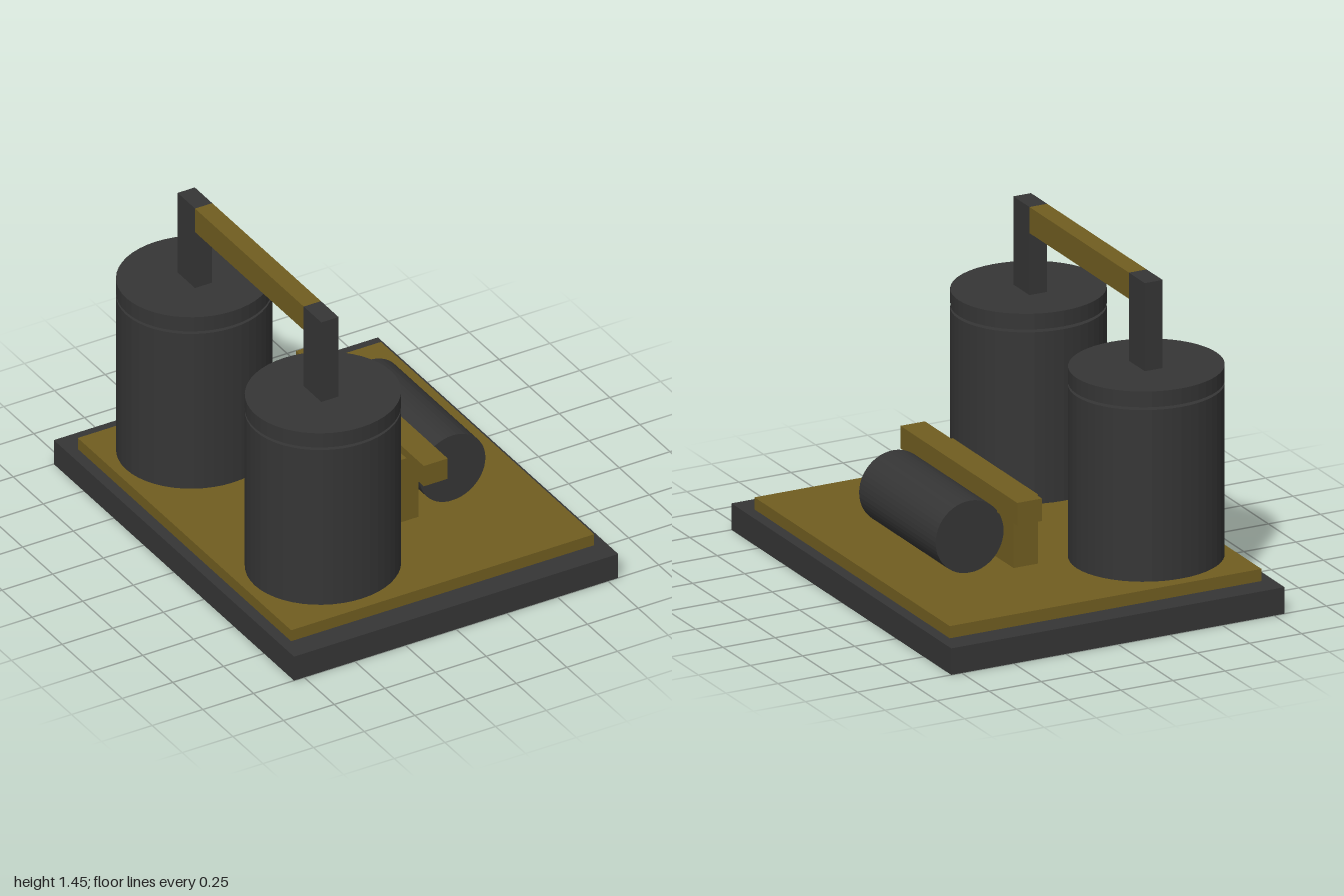
import * as THREE from 'three';

export function createModel() {
  const model = new THREE.Group();
  const charcoal = new THREE.MeshStandardMaterial({ color: 0x353535, flatShading: true });
  charcoal.name = 'charcoal';
  const brass = new THREE.MeshStandardMaterial({ color: 0x705d20 });
  brass.name = 'brass';

  const add = (name, geometry, material, parent = model) => {
    const mesh = new THREE.Mesh(geometry, material);
    mesh.name = name;
    parent.add(mesh);
    return mesh;
  };

  // Box given by its extents on each axis
  const box = (name, material, [x0, x1], [y0, y1], [z0, z1], parent) =>
    add(name, new THREE.BoxGeometry(x1 - x0, y1 - y0, z1 - z0), material, parent)
      .position.set((x0 + x1) / 2, (y0 + y1) / 2, (z0 + z1) / 2);

  // Slightly oval upright drum
  const drum = (name, y0, y1, z, parent) => {
    const geometry = new THREE.CylinderGeometry(1, 1, y1 - y0, 48).scale(0.336, 1, 0.321);
    add(name, geometry, charcoal, parent).position.set(-0.375, (y0 + y1) / 2, z);
  };

  // Stepped base
  box('base', charcoal, [-0.8, 0.8], [0, 0.12], [-1, 1]);
  box('basePlate', brass, [-0.748, 0.748], [0.12, 0.175], [-0.888, 0.888]);

  // Two coils, each with a separate lid and an upright post
  for (const [name, z, post] of [
    ['frontCoil', 0.524, [0.438, 0.585]],
    ['backCoil', -0.548, [-0.612, -0.467]],
  ]) {
    const coil = new THREE.Group();
    coil.name = name;
    model.add(coil);
    drum('coilBody', 0.19, 0.967, z, coil);
    drum('coilLid', 0.98, 1.051, z, coil);
    box('post', charcoal, [-0.419, -0.334], [0.967, 1.45], post, coil);
  }

  // Bar joining the posts
  box('crossBar', brass, [-0.419, -0.334], [1.332, 1.45], [-0.467, 0.438]);

  // Upright bracket with its overhanging rail
  box('bracket', brass, [0.06, 0.178], [0.175, 0.488], [-0.388, 0.388]);
  box('bracketRail', brass, [0.118, 0.236], [0.425, 0.527], [-0.532, 0.532]);

  // Roller lying on the plate
  const roller = new THREE.CylinderGeometry(0.163, 0.163, 0.696, 48).rotateX(Math.PI / 2);
  add('roller', roller, charcoal).position.set(0.368, 0.337, 0);

  return model;
}
